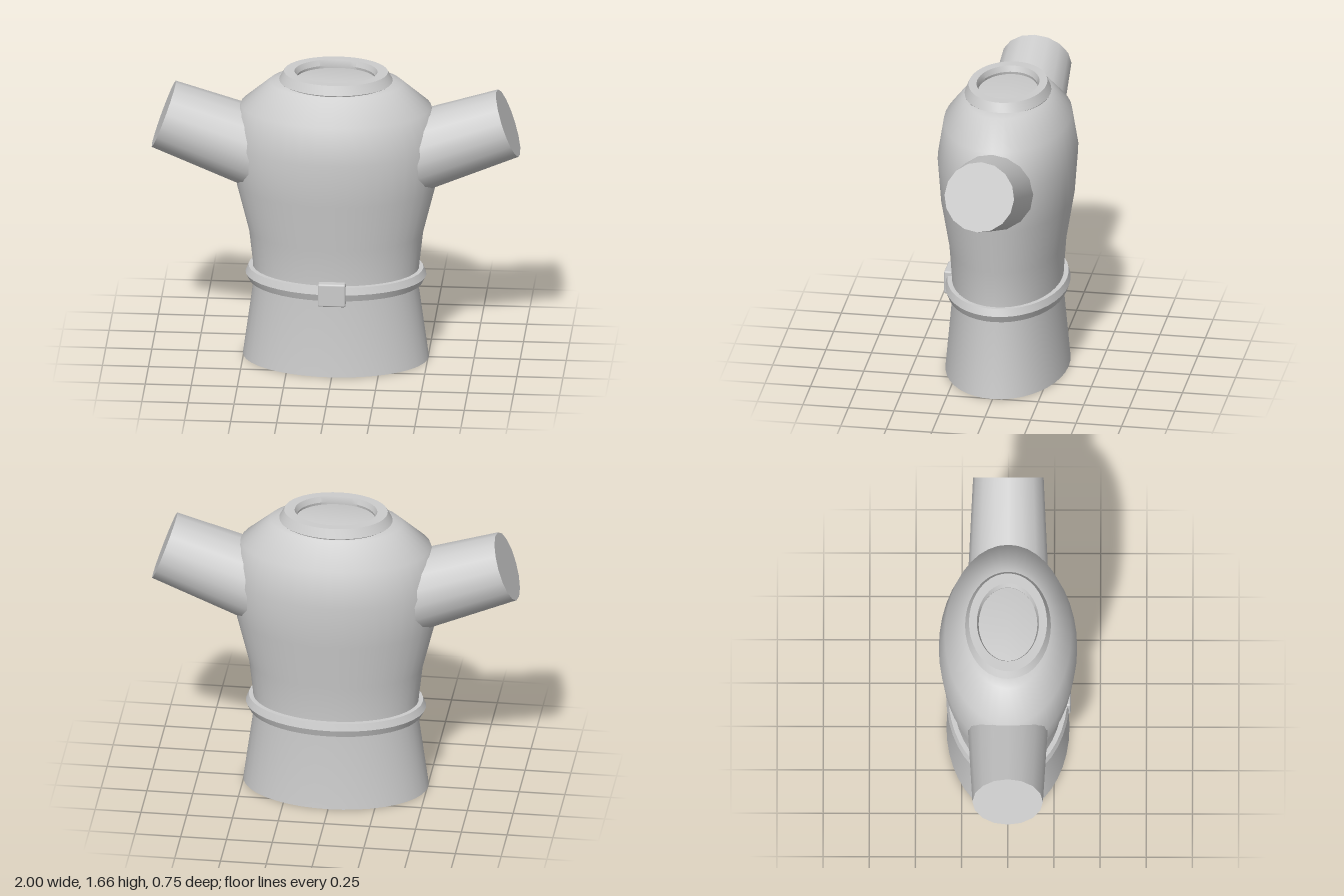
import * as THREE from 'three';
import { toCreasedNormals } from 'three/addons/utils/BufferGeometryUtils.js';
import { RoundedBoxGeometry } from 'three/addons/geometries/RoundedBoxGeometry.js';

export function createModel() {
  const model = new THREE.Group();
  model.name = 'torso';
  const grey = new THREE.MeshStandardMaterial({ color: 0xcccccc });
  grey.name = 'light grey';

  const add = (name, geometry) => {
    const mesh = new THREE.Mesh(geometry, grey);
    mesh.name = name;
    model.add(mesh);
    return mesh;
  };
  // Turned profile flattened front to back into an ellipse
  const oval = (points, depth, crease) => {
    const lathe = new THREE.LatheGeometry(points.map(([r, y]) => new THREE.Vector2(r, y)), 40);
    return toCreasedNormals(lathe.scale(1, 1, depth), crease);
  };

  // Body: flared skirt, waist, chest and sloping shoulders
  add('body', oval([
    [0, 0], [0.505, 0], [0.447, 0.43], [0.452, 0.54], [0.473, 0.73], [0.54, 1.0],
    [0.568, 1.25], [0.518, 1.46], [0.36, 1.595], [0.3, 1.61], [0, 1.61],
  ], 0.66, 0.85));

  // Raised ring around the neck opening
  add('collar', oval([
    [0.22, 1.59], [0.3, 1.59], [0.31, 1.605], [0.282, 1.656], [0.225, 1.656], [0.212, 1.625], [0.22, 1.59],
  ], 0.75, 0.5));

  // Belt with a ridged outer edge
  add('belt', oval([
    [0.43, 0.44], [0.47, 0.44], [0.491, 0.48], [0.475, 0.52], [0.43, 0.52], [0.43, 0.44],
  ], 0.682, 0.6));

  const buckle = add('buckle', new RoundedBoxGeometry(0.15, 0.132, 0.05, 2, 0.01));
  buckle.position.set(0, 0.478, 0.315);

  // Arm stumps, raised outwards and widening towards the shoulder
  const tilt = 0.348, length = 0.65;
  for (const side of [1, -1]) {
    const arm = add(side > 0 ? 'leftArm' : 'rightArm',
      new THREE.CylinderGeometry(0.191, 0.223, length, 16));
    arm.rotation.z = side * (tilt - Math.PI / 2);
    arm.position.set(
      side * (0.935 - Math.cos(tilt) * length / 2),
      1.38 - Math.sin(tilt) * length / 2, 0);
  }
  return model;
}
